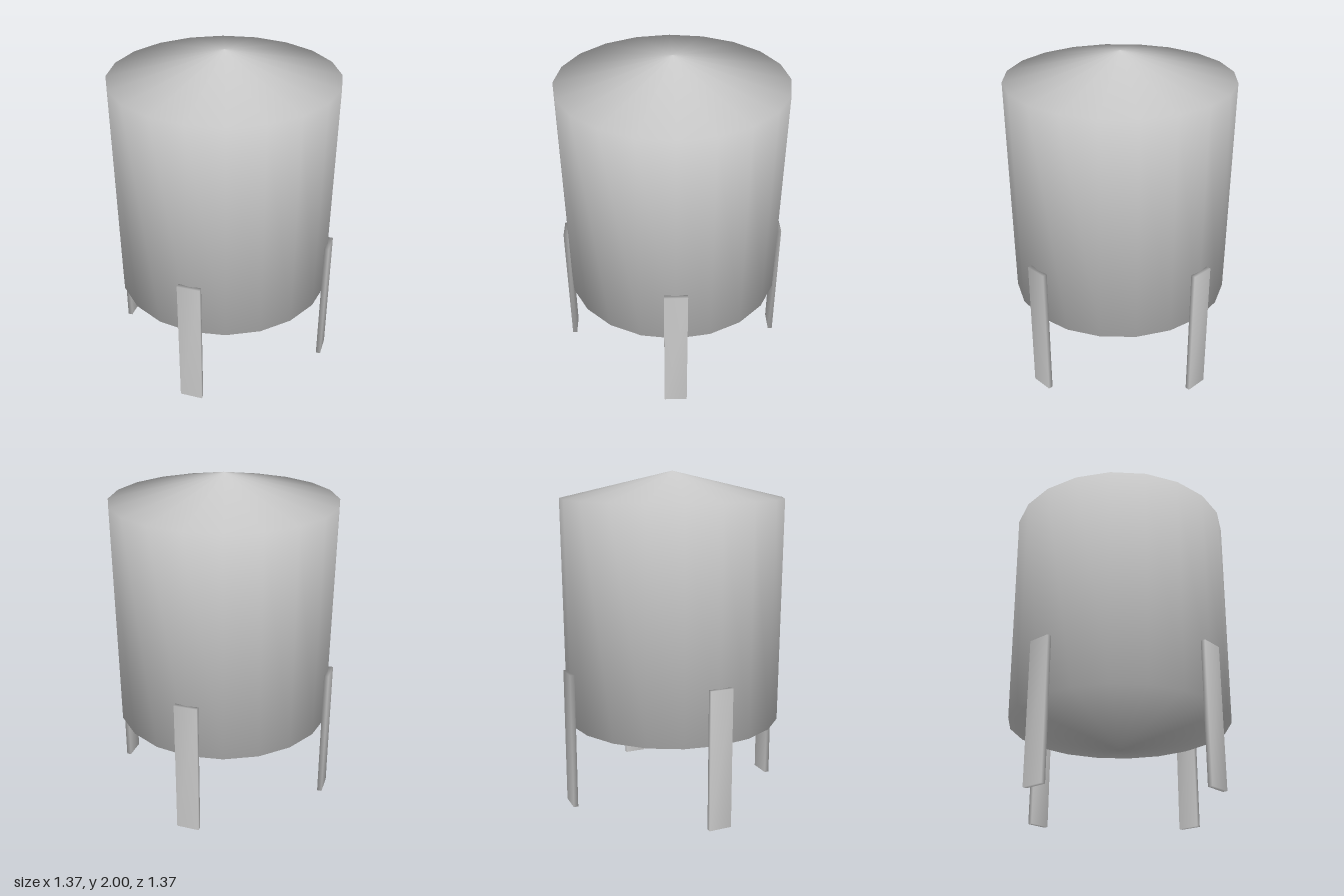
import * as THREE from 'three';
import { mergeVertices } from 'three/addons/utils/BufferGeometryUtils.js';

// Box whose faces share corners, so it shades smoothly
function softBox(w, h, d) {
  const box = new THREE.BoxGeometry(w, h, d);
  box.deleteAttribute('normal');
  box.deleteAttribute('uv');
  const geo = mergeVertices(box);
  geo.computeVertexNormals();
  return geo;
}

export function createModel() {
  const model = new THREE.Group();
  model.name = 'storageTank';
  const grey = new THREE.MeshStandardMaterial({ color: 0xcccccc });

  // Tank: twenty-sided, slightly tapered wall between two shallow cones
  const profile = [
    [0, 0.345],
    [0.662, 0.498],
    [0.672, 1.843],
    [0, 2],
  ].map(([r, y]) => new THREE.Vector2(r, y));
  const tank = new THREE.Mesh(new THREE.LatheGeometry(profile, 20), grey);
  tank.name = 'tank';
  model.add(tank);

  // Four flat legs against the wall
  const legHeight = 0.83;
  const legGeometry = softBox(0.137, legHeight, 0.028);
  for (const [i, side] of ['front', 'left', 'back', 'right'].entries()) {
    const angle = (i * Math.PI) / 2;
    const leg = new THREE.Mesh(legGeometry, grey);
    leg.name = side + 'Leg';
    leg.position.set(Math.sin(angle) * 0.67, legHeight / 2, Math.cos(angle) * 0.67);
    leg.rotation.y = angle;
    model.add(leg);
  }

  return model;
}
